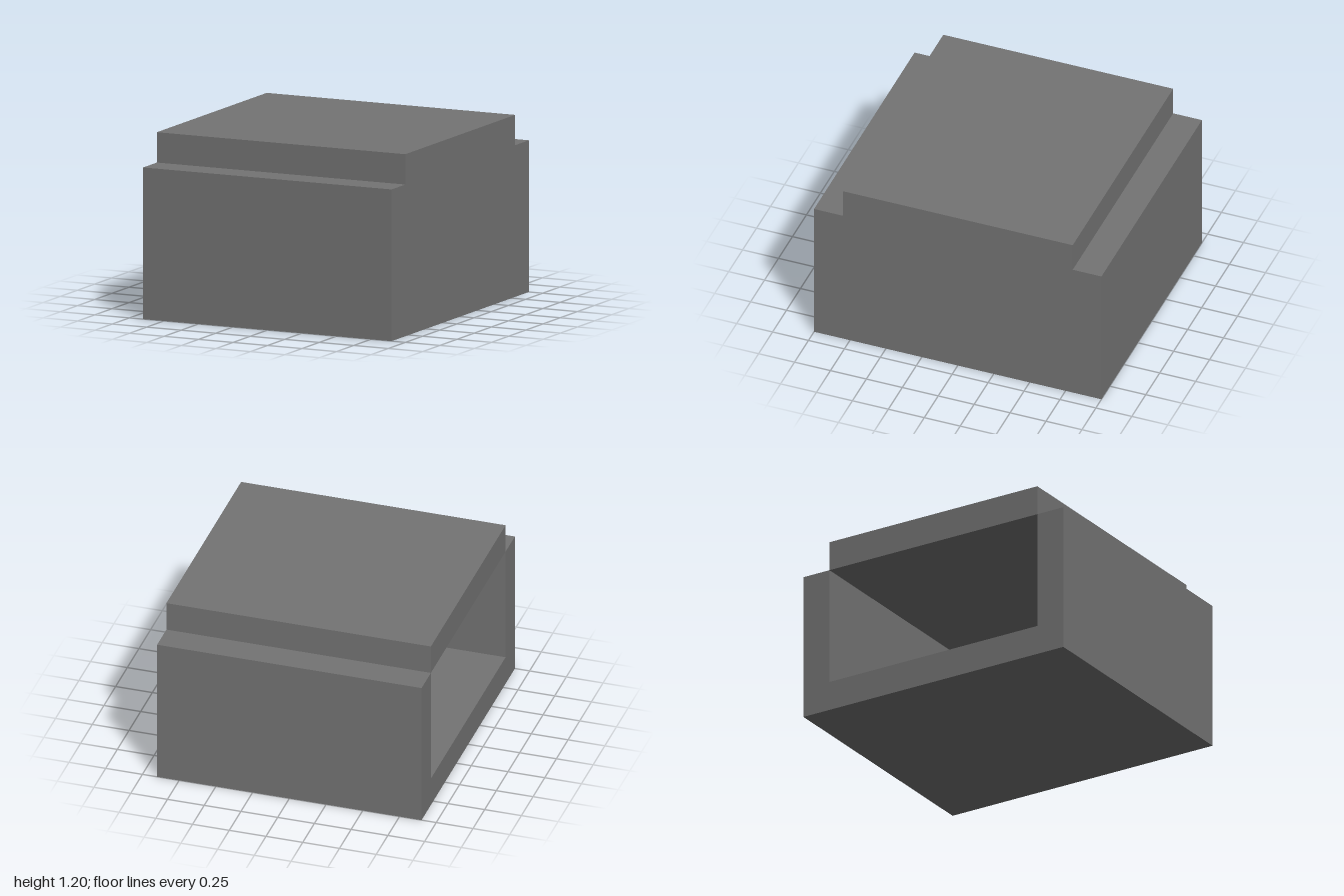
import * as THREE from 'three';

// Extrudes a z/y profile along x, from x0 to x1
function extrudeX(points, x0, x1) {
  const shape = new THREE.Shape(points.map(([z, y]) => new THREE.Vector2(-z, y)));
  const geometry = new THREE.ExtrudeGeometry(shape, { depth: x1 - x0, bevelEnabled: false });
  geometry.rotateY(Math.PI / 2);
  geometry.translate(x0, 0, 0);
  return geometry;
}

export function createModel() {
  const group = new THREE.Group();
  group.name = 'steppedHousing';
  const grey = new THREE.MeshStandardMaterial({ color: 0x747474 });
  grey.name = 'grey';

  const outerX = 0.9, innerX = 0.7;  // closed side and cavity end
  const outerZ = 1, innerZ = 0.8;    // walls are 0.2 thick
  const floorY = 0.2, ledgeY = 1, topY = 1.2;

  const add = (name, points, x0, x1) => {
    const mesh = new THREE.Mesh(extrudeX(points, x0, x1), grey);
    mesh.name = name;
    group.add(mesh);
  };

  // Floor with front and back walls
  add('trough', [
    [-outerZ, 0], [outerZ, 0], [outerZ, ledgeY], [innerZ, ledgeY],
    [innerZ, floorY], [-innerZ, floorY], [-innerZ, ledgeY], [-outerZ, ledgeY],
  ], -outerX, innerX);

  // Raised roof over the cavity
  add('roof', [
    [-innerZ, ledgeY], [innerZ, ledgeY], [innerZ, topY], [-innerZ, topY],
  ], -outerX, innerX);

  // Stepped panel closing the cavity
  add('endPanel', [
    [-outerZ, 0], [outerZ, 0], [outerZ, ledgeY], [innerZ, ledgeY],
    [innerZ, topY], [-innerZ, topY], [-innerZ, ledgeY], [-outerZ, ledgeY],
  ], innerX, outerX);

  return group;
}
